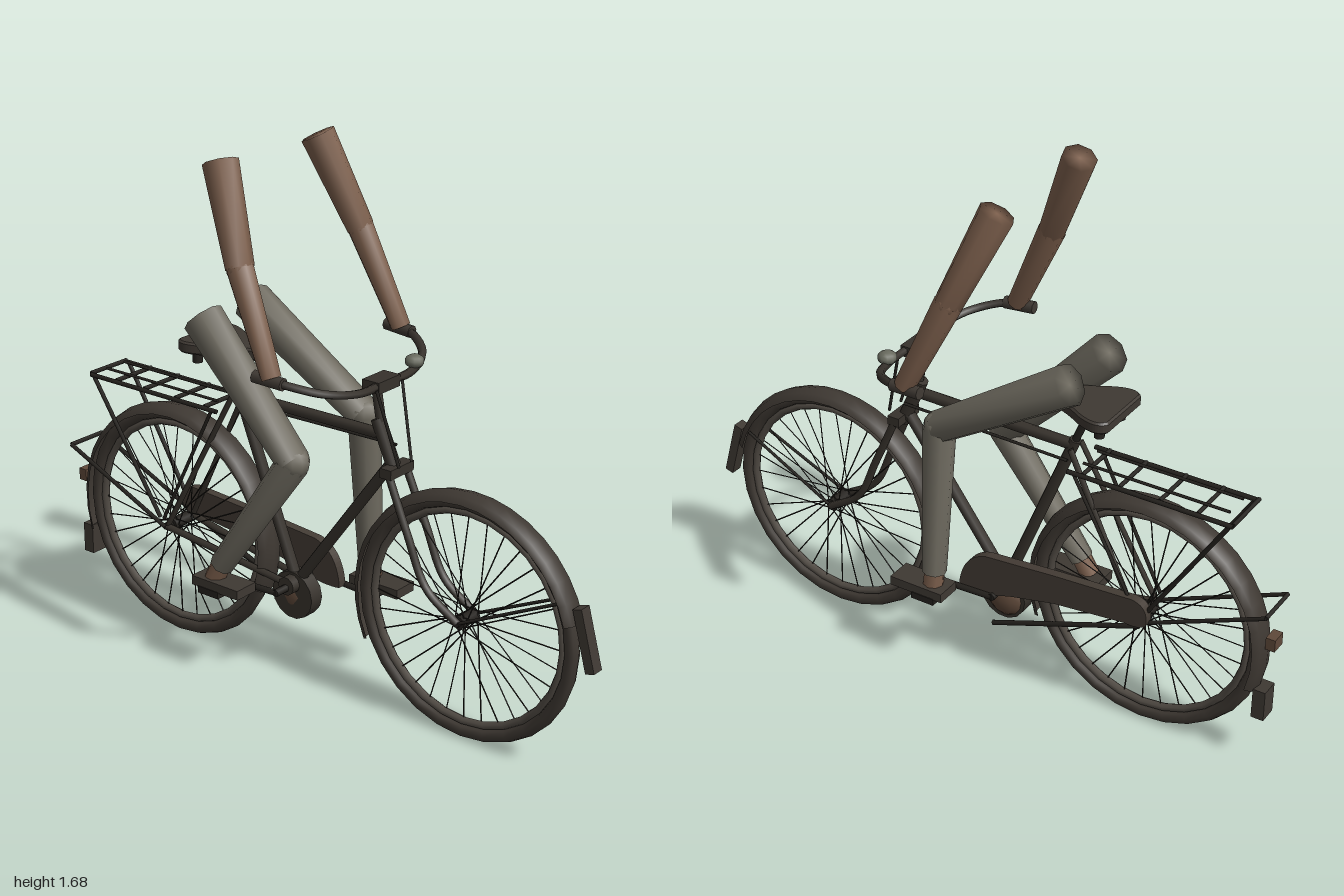
import * as THREE from 'three';
import { mergeVertices } from 'three/addons/utils/BufferGeometryUtils.js';

const mat = (name, color, side = THREE.FrontSide) => {
  const m = new THREE.MeshStandardMaterial({ color, side });
  m.name = name;
  return m;
};

export function createModel() {
  const skin = mat('skin', 0x7d604d);
  const cloth = mat('trouserCloth', 0x6f6b60);
  const rubber = mat('rubber', 0x3f3933, THREE.DoubleSide);
  const paint = mat('framePaint', 0x37322c);
  const steel = mat('darkSteel', 0x25221e);
  const rimMetal = mat('rimMetal', 0x524c45);
  const guardPaint = mat('guardPaint', 0x443c35);
  const bellMetal = mat('bellMetal', 0x686a5e);
  const copper = mat('brownHousing', 0x5f493a);

  const model = new THREE.Group();
  model.name = 'bicycleWithLimbs';
  const V = (a) => new THREE.Vector3(...a);

  const add = (name, geo, m, pos = [0, 0, 0], parent = model) => {
    const mesh = new THREE.Mesh(geo, m);
    mesh.name = name;
    mesh.position.set(...pos);
    parent.add(mesh);
    return mesh;
  };
  // straight round bar between two points, optionally tapered
  const rod = (name, a, b, r, m, rb = r, sides = 6, parent = model) => {
    const p = V(a), q = V(b), d = q.clone().sub(p);
    const mesh = add(name, new THREE.CylinderGeometry(rb, r, d.length(), sides), m, [0, 0, 0], parent);
    mesh.position.copy(p).add(q).multiplyScalar(0.5);
    mesh.quaternion.setFromUnitVectors(new THREE.Vector3(0, 1, 0), d.normalize());
    return mesh;
  };
  const tube = (name, pts, r, m, seg = 24) =>
    add(name, new THREE.TubeGeometry(new THREE.CatmullRomCurve3(pts.map(V)), seg, r, 6), m);
  const box = (name, size, pos, m) => add(name, new THREE.BoxGeometry(...size), m, pos);
  // arc spun around the x axis; angles in degrees run from +z upward
  const spin = (name, profile, m, parent, from, to, seg) => {
    const g = new THREE.LatheGeometry(profile.map(([r, x]) => new THREE.Vector2(r, x)), seg,
      THREE.MathUtils.degToRad(from), THREE.MathUtils.degToRad(to - from));
    g.rotateZ(Math.PI / 2);
    return add(name, g, m, [0, 0, 0], parent);
  };

  // wheels with tyre, rim, hub, spokes and mudguard
  const AXLE_Y = 0.391, FRONT_Z = 0.553, REAR_Z = -0.565;
  const wheel = (name, z, from, to, half, axle) => {
    const g = new THREE.Group();
    g.name = name;
    g.position.set(0, AXLE_Y, z);
    model.add(g);
    const tyre = new THREE.TorusGeometry(0.361, 0.022, 8, 28);
    tyre.rotateY(Math.PI / 2);
    add('tyre', tyre, rubber, [0, 0, 0], g);
    const rim = new THREE.TorusGeometry(0.332, 0.013, 6, 28);
    rim.rotateY(Math.PI / 2);
    add('rim', rim, rimMetal, [0, 0, 0], g);
    rod('hub', [-0.04, 0, 0], [0.04, 0, 0], 0.02, steel, 0.02, 10, g);
    rod('axle', [-axle, 0, 0], [axle, 0, 0], 0.01, steel, 0.01, 6, g);
    for (let i = 0; i < 32; i++) {
      const a = (i / 32) * Math.PI * 2, h = a + (i % 4 < 2 ? 1 : -1) * 1.1;
      rod('spoke', [i % 2 ? 0.03 : -0.03, 0.02 * Math.sin(h), 0.02 * Math.cos(h)],
        [0, 0.325 * Math.sin(a), 0.325 * Math.cos(a)], 0.0022, steel, 0.0022, 4, g);
    }
    spin('mudguard', [[0.366, -half], [0.387, -half * 0.75], [0.395, 0], [0.387, half * 0.75], [0.366, half]],
      rubber, g, from, to, 20);
  };
  wheel('frontWheel', FRONT_Z, 15, 205, 0.04, 0.052);
  wheel('rearWheel', REAR_Z, -20, 198, 0.046, 0.07);
  box('frontMudFlap', [0.04, 0.19, 0.03], [0, 0.453, 0.96], rubber).rotation.x = -0.27;
  box('rearMudFlap', [0.06, 0.1, 0.04], [0, 0.23, -0.955], rubber);
  box('rearReflector', [0.05, 0.04, 0.03], [0, 0.45, -0.975], copper);

  // frame
  rod('headTube', [0, 0.93, 0.225], [0, 0.77, 0.295], 0.022, paint, 0.022, 8);
  rod('steerer', [0, 1.04, 0.215], [0, 0.9, 0.24], 0.015, paint, 0.015, 8);
  rod('topTube', [0, 0.885, 0.24], [0, 0.88, -0.31], 0.018, paint, 0.018, 8);
  rod('downTube', [0, 0.81, 0.28], [0, 0.32, -0.08], 0.018, paint, 0.018, 8);
  rod('seatTube', [0, 0.32, -0.08], [0, 0.9, -0.31], 0.018, paint, 0.018, 8);
  rod('seatPost', [0, 0.88, -0.302], [0, 1.01, -0.355], 0.012, steel, 0.012, 8);
  rod('bottomBracket', [-0.05, 0.32, -0.085], [0.05, 0.32, -0.085], 0.03, paint, 0.03, 10);
  rod('topRod', [0.03, 0.85, 0.27], [0.03, 0.84, -0.3], 0.005, steel);
  box('forkCrown', [0.11, 0.03, 0.04], [0, 0.79, 0.295], paint);

  for (const s of [-1, 1]) {
    tube('forkBlade', [[s * 0.042, 0.79, 0.295], [s * 0.045, 0.62, 0.37], [s * 0.045, 0.47, 0.44],
      [s * 0.045, AXLE_Y, FRONT_Z]], 0.012, paint);
    rod('seatStay', [s * 0.03, 0.88, -0.31], [s * 0.06, AXLE_Y, REAR_Z], 0.009, paint);
    rod('chainStay', [s * 0.03, 0.32, -0.09], [s * 0.06, AXLE_Y, REAR_Z], 0.012, paint);
    rod('frontMudguardStay', [s * 0.045, AXLE_Y, FRONT_Z], [s * 0.032, 0.55, 0.88], 0.005, steel);
    rod('rearMudguardStay', [s * 0.07, AXLE_Y, REAR_Z], [s * 0.07, 0.57, -0.975], 0.007, steel);
    rod('brakeRod', [s * 0.06, 1.04, 0.265], [s * 0.03, 0.81, 0.325], 0.005, steel);
    // luggage rack sides
    rod('rackRail', [s * 0.08, 0.84, -0.33], [s * 0.08, 0.84, -0.86], 0.008, steel);
    rod('rackUpperRail', [s * 0.04, 0.857, -0.36], [s * 0.04, 0.857, -0.83], 0.005, steel);
    rod('rackRearStay', [s * 0.08, 0.84, -0.85], [s * 0.07, 0.42, -0.585], 0.007, steel);
    rod('rackFrontStay', [s * 0.08, 0.84, -0.35], [s * 0.07, 0.42, -0.57], 0.006, steel);
    rod('saddleSpring', [s * 0.06, 0.975, -0.42], [s * 0.06, 1.03, -0.42], 0.016, steel, 0.016, 8);
  }
  rod('rearStayCross', [-0.07, 0.57, -0.975], [0.07, 0.57, -0.975], 0.007, steel);
  for (const z of [-0.38, -0.5, -0.63, -0.75, -0.86])
    rod('rackCrossbar', [-0.08, 0.845, z], [0.08, 0.845, z], 0.007, steel);
  rod('foldedStand', [0.07, 0.2, -0.075], [0.075, 0.39, -0.58], 0.009, steel);

  // saddle, wide at the back with a narrow nose
  const seat = new THREE.Shape();
  seat.moveTo(0.025, 0.2);
  seat.quadraticCurveTo(0.045, 0.3, 0.09, 0.37);
  seat.quadraticCurveTo(0.125, 0.44, 0.09, 0.46);
  seat.lineTo(-0.09, 0.46);
  seat.quadraticCurveTo(-0.125, 0.44, -0.09, 0.37);
  seat.quadraticCurveTo(-0.045, 0.3, -0.025, 0.2);
  seat.closePath();
  const seatGeo = new THREE.ExtrudeGeometry(seat, { depth: 0.025, bevelSize: 0.006, bevelThickness: 0.006, bevelSegments: 1 });
  seatGeo.rotateX(-Math.PI / 2);
  add('saddle', seatGeo, rubber, [0, 1.02, 0]);

  // chain guard
  const guard = new THREE.Shape();
  guard.moveTo(0.035, 0.33);
  guard.quadraticCurveTo(0.02, 0.43, -0.06, 0.45);
  guard.lineTo(-0.3, 0.47);
  guard.lineTo(-0.56, 0.486);
  guard.quadraticCurveTo(-0.62, 0.48, -0.61, 0.41);
  guard.quadraticCurveTo(-0.59, 0.39, -0.54, 0.395);
  guard.lineTo(-0.3, 0.37);
  guard.lineTo(-0.14, 0.335);
  guard.quadraticCurveTo(-0.05, 0.3, 0.035, 0.31);
  guard.closePath();
  const guardGeo = new THREE.ExtrudeGeometry(guard, { depth: 0.03, bevelEnabled: false });
  guardGeo.rotateY(-Math.PI / 2);
  add('chainGuard', guardGeo, guardPaint, [0.09, 0, 0]);
  // round housing below the cranks, dark rim with a brown face
  rod('crankHousingRim', [-0.02, 0.28, -0.085], [0.03, 0.28, -0.085], 0.078, paint, 0.078, 14);
  add('crankHousing', new THREE.SphereGeometry(0.066, 12, 8), copper, [0.015, 0.275, -0.09]).scale.x = 0.6;

  // handlebar, bell and stem
  tube('handlebar', [[-0.305, 1.095, 0.05], [-0.295, 1.09, 0.12], [-0.23, 1.065, 0.21], [-0.12, 1.045, 0.25],
    [0, 1.045, 0.25], [0.12, 1.045, 0.25], [0.23, 1.065, 0.21], [0.295, 1.09, 0.12], [0.305, 1.095, 0.05]], 0.013, paint, 40);
  box('stemClamp', [0.1, 0.035, 0.06], [0, 1.042, 0.235], paint);
  add('bell', new THREE.SphereGeometry(0.03, 10, 7), bellMetal, [0.145, 1.07, 0.245]).scale.y = 0.7;

  // limb of two tapered segments with softly shaded ends and a rounded joint
  const soften = (mesh) => {
    mesh.geometry.deleteAttribute('normal');
    mesh.geometry.deleteAttribute('uv');
    mesh.geometry = mergeVertices(mesh.geometry);
    mesh.geometry.computeVertexNormals();
  };
  const limb = (name, a, b, c, ra, rb, rc, m) => {
    const g = new THREE.Group();
    g.name = name;
    model.add(g);
    soften(rod('upper', a, b, ra, m, rb, 8, g));
    soften(rod('lower', b, c, rb, m, rc, 8, g));
    add('joint', new THREE.SphereGeometry(rb * 0.97, 10, 8), m, b, g);
  };

  for (const s of [-1, 1]) {
    const side = s > 0 ? 'left' : 'right';
    limb(side + 'Arm', [s * 0.215, 1.665, -0.175], [s * 0.272, 1.39, -0.057], [s * 0.299, 1.1, 0.078],
      0.053, 0.042, 0.031, skin);
    rod(side + 'Grip', [s * 0.305, 1.097, 0.02], [s * 0.298, 1.092, 0.12], 0.02, rubber, 0.02, 8);

    // legs, cranks, pedals and shod feet
    const pz = s > 0 ? 0.1 : -0.27;
    const knee = s > 0 ? [0.118, 0.875, 0.083] : [-0.12, 0.775, 0.008];
    const ankle = s > 0 ? [0.152, 0.38, 0.085] : [-0.152, 0.38, -0.255];
    limb(side + 'Leg', [s * 0.11, 1.145, -0.35], knee, ankle, 0.064, 0.051, 0.038, cloth);
    rod(side + 'Ankle', ankle, [s * 0.155, 0.33, pz - 0.012], 0.032, skin, 0.032, 8);
    box(side + 'Shoe', [0.085, 0.03, 0.185], [s * 0.155, 0.322, pz + 0.025], rubber);
    box(side + 'Pedal', [0.09, 0.022, 0.08], [s * 0.155, 0.299, pz], steel);
    rod(side + 'PedalSpindle', [s * 0.08, 0.305, pz], [s * 0.18, 0.305, pz], 0.009, steel);
    rod(side + 'Crank', [s * 0.095, 0.315, -0.085], [s * 0.095, 0.307, pz], 0.011, steel);
  }
  rod('crankAxle', [-0.1, 0.315, -0.085], [0.1, 0.315, -0.085], 0.012, steel, 0.012, 8);

  return model;
}
